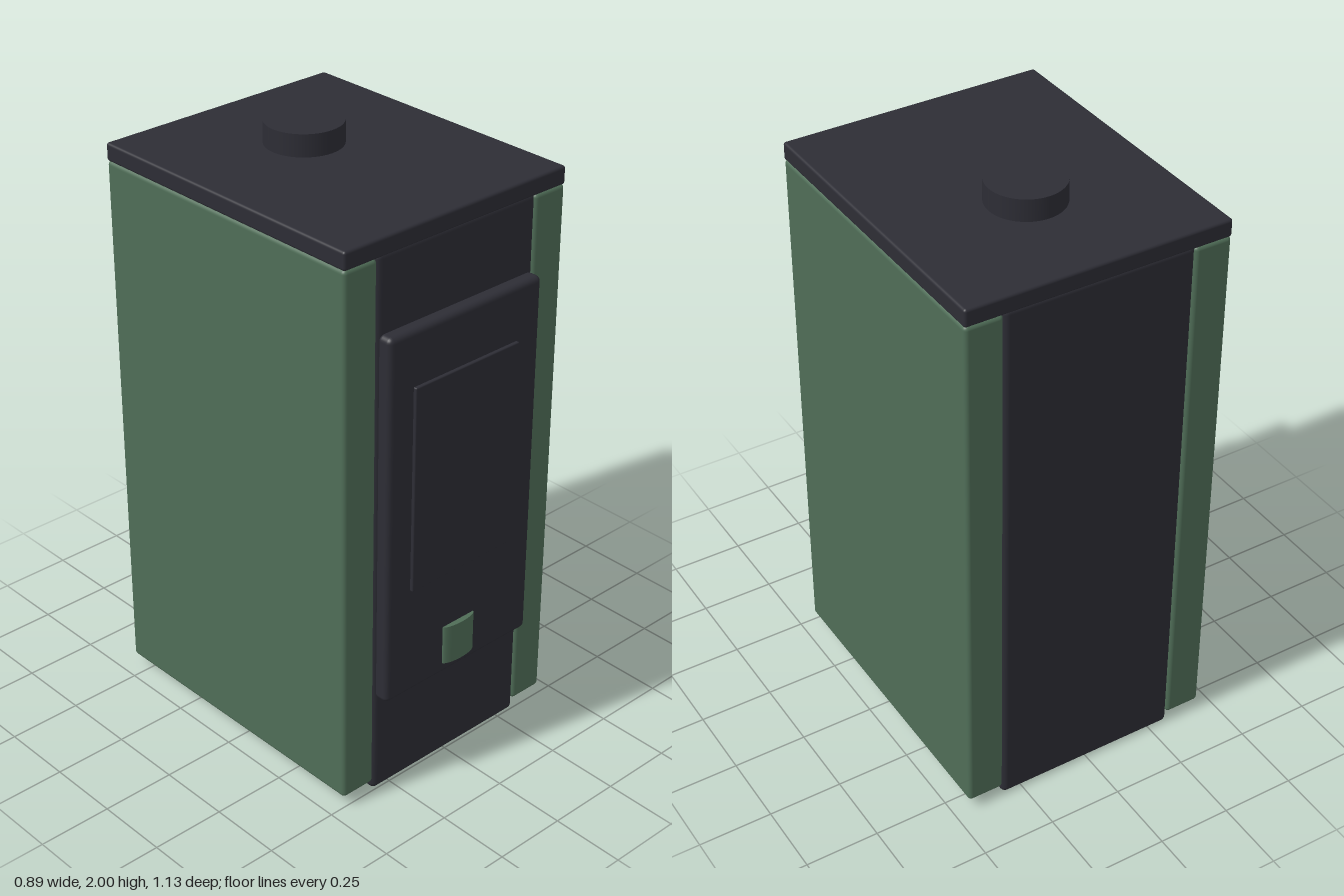
import * as THREE from 'three';
import { RoundedBoxGeometry } from 'three/addons/geometries/RoundedBoxGeometry.js';

export function createModel() {
  const model = new THREE.Group();
  model.name = 'stove';

  const material = (name, color) => {
    const m = new THREE.MeshStandardMaterial({ color });
    m.name = name;
    return m;
  };
  const iron = material('dark iron', 0x2d2d35);
  const green = material('green enamel', 0x4f6d57);

  const add = (name, geometry, mat, x, y, z) => {
    const mesh = new THREE.Mesh(geometry, mat);
    mesh.name = name;
    mesh.position.set(x, y, z);
    model.add(mesh);
    return mesh;
  };

  // Rounded block given by its limits on each axis
  const block = (name, mat, [x0, x1], [y0, y1], [z0, z1], r) =>
    add(name, new RoundedBoxGeometry(x1 - x0, y1 - y0, z1 - z0, 3, r), mat,
      (x0 + x1) / 2, (y0 + y1) / 2, (z0 + z1) / 2);

  const depth = [-0.565, 0.5];

  // Firebox body and top plate
  block('body', iron, [-0.322, 0.322], [0, 1.88], depth, 0.02);
  block('topPlate', iron, [-0.447, 0.447], [1.866, 1.926], depth, 0.009);

  // Enamelled side panels
  block('leftPanel', green, [0.32, 0.447], [0.035, 1.868], depth, 0.014);
  block('rightPanel', green, [-0.447, -0.32], [0.035, 1.868], depth, 0.014);

  // Door with its raised window
  block('door', iron, [-0.313, 0.313], [0.358, 1.626], [0.49, 0.546], 0.018);
  block('window', iron, [-0.217, 0.214], [0.738, 1.442], [0.538, 0.557], 0.004);

  // Bowed air-control handle below the window
  const handle = new THREE.CylinderGeometry(0.07, 0.07, 0.137, 32, 1, false, -Math.PI / 2, Math.PI);
  handle.scale(0.96, 1, 0.27);
  add('handle', handle, green, -0.003, 0.467, 0.546);

  // Flue collar
  add('flueCollar', new THREE.CylinderGeometry(0.126, 0.126, 0.08, 48), iron, 0, 1.96, -0.163);

  return model;
}
